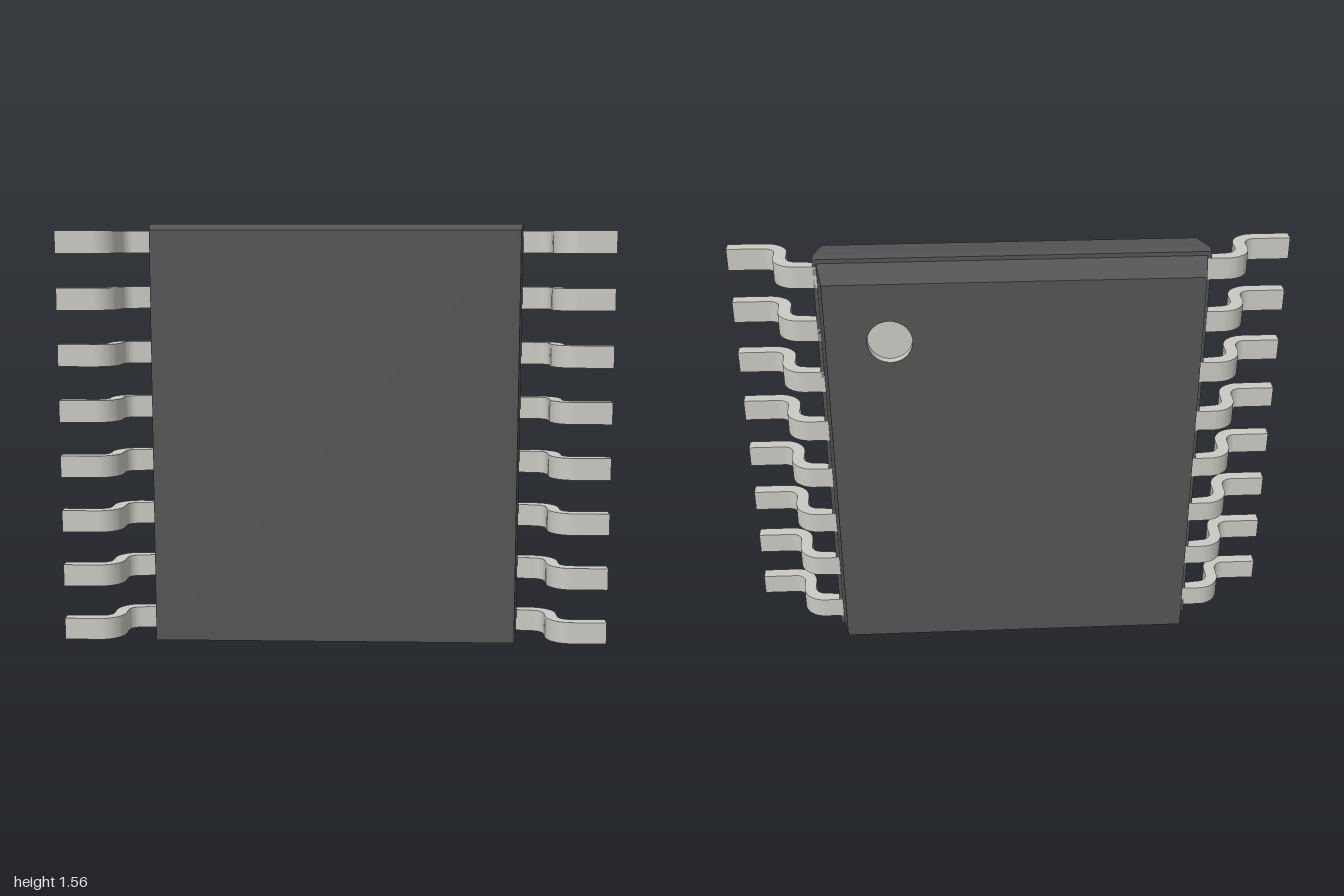
import * as THREE from 'three';
import { toCreasedNormals } from 'three/addons/utils/BufferGeometryUtils.js';

const HOLE = { x: 0.43, y: 1.31, r: 0.078, depth: 0.03 };

// Rectangular rings [halfWidth, bottom, top, z], ordered back to front, joined by flat walls.
function loft(rings, capBack, capFront) {
  const corners = rings.map(([w, b, t, z]) => [[-w, b, z], [w, b, z], [w, t, z], [-w, t, z]]);
  const pos = [];
  const quad = (a, b, c, d) => pos.push(...a, ...b, ...c, ...a, ...c, ...d);
  for (let i = 0; i < corners.length - 1; i++) {
    const p = corners[i], q = corners[i + 1];
    for (let k = 0; k < 4; k++) {
      const n = (k + 1) % 4;
      quad(p[k], p[n], q[n], q[k]);
    }
  }
  const first = corners[0], last = corners[corners.length - 1];
  if (capBack) quad(first[3], first[2], first[1], first[0]);
  if (capFront) quad(last[0], last[1], last[2], last[3]);
  const g = new THREE.BufferGeometry();
  g.setAttribute('position', new THREE.Float32BufferAttribute(pos, 3));
  g.computeVertexNormals();
  return g;
}

// Bent lead outline, extruded upward; side is +1 or -1
function leadGeometry(side) {
  const s = new THREE.Shape();
  s.moveTo(0.66, 0.04);
  s.lineTo(0.745, 0.04);
  s.absarc(0.745, -0.045, 0.085, Math.PI / 2, 0, true);
  s.lineTo(0.83, -0.087);
  s.absarc(0.87, -0.087, 0.04, Math.PI, Math.PI * 1.5, false);
  s.lineTo(1, -0.127);
  s.lineTo(1, -0.172);
  s.lineTo(0.87, -0.172);
  s.absarc(0.87, -0.087, 0.085, Math.PI * 1.5, Math.PI, true);
  s.lineTo(0.785, -0.045);
  s.absarc(0.745, -0.045, 0.04, 0, Math.PI / 2, false);
  s.lineTo(0.66, 0.005);
  const outline = new THREE.Shape(s.getPoints(8).map((p) => new THREE.Vector2(p.x * side, p.y)));
  const g = new THREE.ExtrudeGeometry(outline, { depth: 0.08, bevelEnabled: false });
  g.rotateX(-Math.PI / 2);
  return toCreasedNormals(g, 0.5);
}

export function createModel() {
  const model = new THREE.Group();
  model.name = 'chipPackage';
  const plastic = new THREE.MeshStandardMaterial({ color: 0x555555 });
  const metal = new THREE.MeshStandardMaterial({ color: 0xcccac4 });
  const add = (name, geometry, material, parent = model) => {
    const mesh = new THREE.Mesh(geometry, material);
    mesh.name = name;
    parent.add(mesh);
    return mesh;
  };

  // Body halves: the front one is slightly larger, leaving a ledge at the seam
  add('frontBody', loft([
    [0.687, 0, 1.563, -0.04],
    [0.687, 0, 1.563, 0.0],
    [0.665, 0.025, 1.54, 0.14],
  ], true, true), plastic);
  add('backBody', loft([
    [0.65, 0.04, 1.525, -0.172],
    [0.674, 0.015, 1.548, -0.04],
  ], false, false), plastic);

  // Back face with the round marker opening
  const face = new THREE.Shape();
  face.moveTo(-0.65, 0.04);
  face.lineTo(0.65, 0.04);
  face.lineTo(0.65, 1.525);
  face.lineTo(-0.65, 1.525);
  const opening = new THREE.Path();
  opening.absarc(-HOLE.x, HOLE.y, HOLE.r, 0, Math.PI * 2, true);
  face.holes.push(opening);
  const backFace = add('backFace', new THREE.ShapeGeometry(face, 24), plastic);
  backFace.rotation.y = Math.PI;
  backFace.position.z = -0.172;

  // Marker recess: wall and floor
  const marker = new THREE.Group();
  marker.name = 'markerRecess';
  marker.position.set(HOLE.x, HOLE.y, -0.172);
  model.add(marker);
  const wallMaterial = metal.clone();
  wallMaterial.side = THREE.DoubleSide;
  const wall = new THREE.CylinderGeometry(HOLE.r, HOLE.r, HOLE.depth, 48, 1, true);
  wall.rotateX(Math.PI / 2);
  add('markerWall', wall, wallMaterial, marker).position.z = HOLE.depth / 2;
  const floor = add('markerFloor', new THREE.CircleGeometry(HOLE.r, 48), metal, marker);
  floor.rotation.y = Math.PI;
  floor.position.z = HOLE.depth;

  // Eight leads along each side
  for (const side of [1, -1]) {
    const leads = new THREE.Group();
    leads.name = side > 0 ? 'leftLeads' : 'rightLeads';
    model.add(leads);
    const geometry = leadGeometry(side);
    for (let i = 0; i < 8; i++) {
      add('lead', geometry, metal, leads).position.y = 0.034 + i * 0.2033;
    }
  }
  return model;
}
